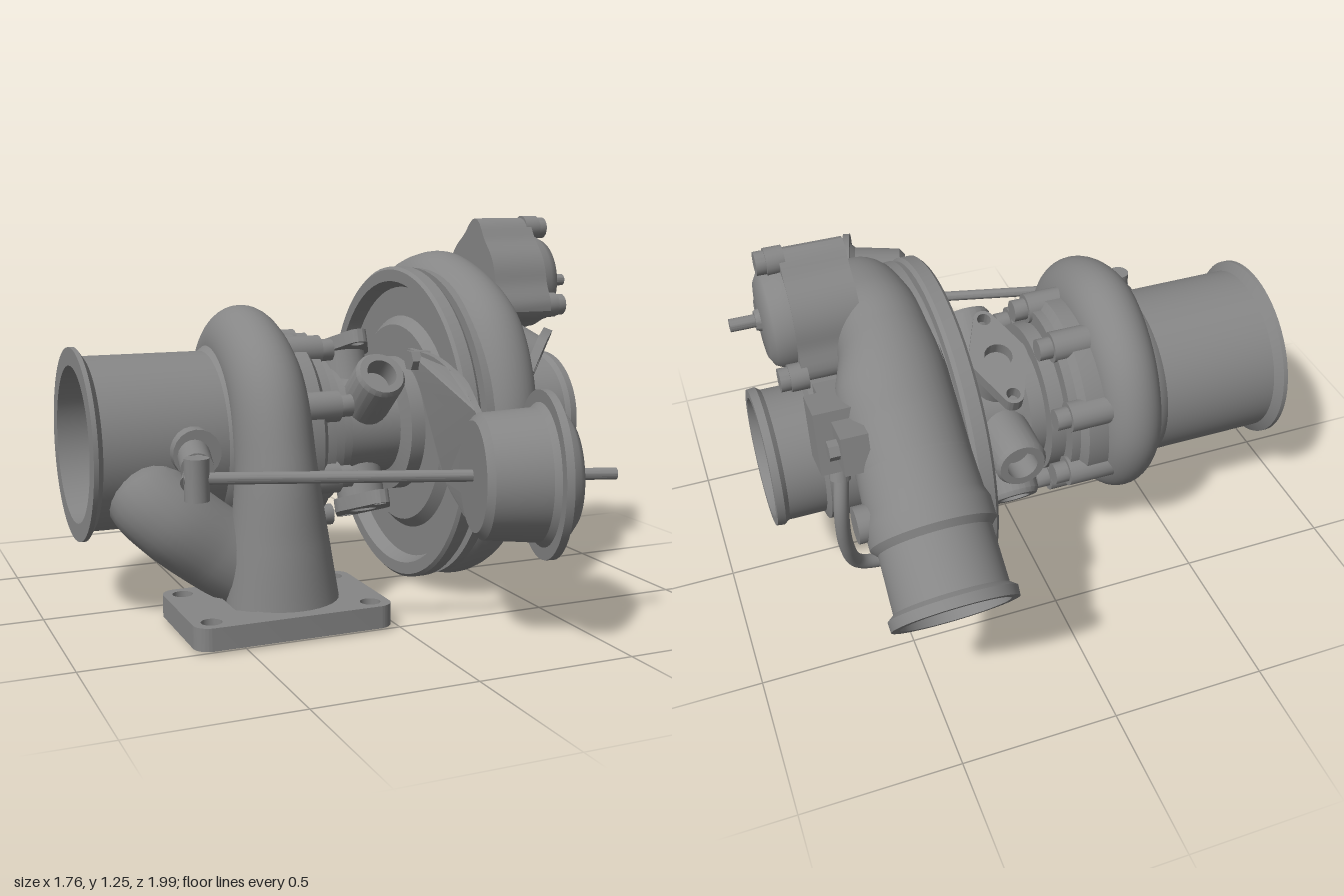
import * as THREE from 'three';
import { toCreasedNormals } from 'three/addons/utils/BufferGeometryUtils.js';

const V = (x, y, z) => new THREE.Vector3(x, y, z);
const UP = V(0, 1, 0), X = V(1, 0, 0);
const AY = 0.545, AZ = -0.06; // shaft axis runs along x through here

export function createModel() {
  const model = new THREE.Group();
  const metal = new THREE.MeshStandardMaterial({ color: 0x868686, side: THREE.DoubleSide });
  metal.name = 'castGrey';

  const add = (name, geo, pos = V(0, 0, 0), dir = UP) => {
    const m = new THREE.Mesh(geo, metal);
    m.name = name;
    m.position.copy(pos);
    m.quaternion.setFromUnitVectors(UP, dir.clone().normalize());
    model.add(m);
    return m;
  };
  // Turned part: profile of [height along dir, radius]
  const lathe = (name, pts, pos, dir, seg = 56) => add(name, toCreasedNormals(
    new THREE.LatheGeometry(pts.map(([h, r]) => new THREE.Vector2(r, h)), seg), 0.6), pos, dir);
  const onShaft = (name, pts, seg) => lathe(name, pts, V(0, AY, AZ), X, seg);
  const rod = (name, a, b, r, seg = 20) => lathe(name,
    [[0, 0], [0, r], [a.distanceTo(b), r], [a.distanceTo(b), 0]], a, b.clone().sub(a), seg);
  // Flat plate: outline extruded along dir
  const plate = (name, shape, depth, pos, dir) => add(name, toCreasedNormals(
    new THREE.ExtrudeGeometry(shape, { depth, bevelEnabled: false, curveSegments: 16 })
      .rotateX(-Math.PI / 2), 0.5), pos, dir);
  const hole = (shape, x, y, r) => shape.holes.push(new THREE.Path().absarc(x, y, r, 0, Math.PI * 2, true));
  const tubeGeo = (pts, r) => new THREE.TubeGeometry(new THREE.CatmullRomCurve3(pts), 40, r, 24);
  // Pushes vertices out of the exhaust bore
  const clearBore = geo => {
    const p = geo.attributes.position;
    for (let i = 0; i < p.count; i++) {
      const dy = p.getY(i) - AY, dz = p.getZ(i) - AZ, k = Math.max(1, 0.264 / Math.hypot(dy, dz));
      p.setY(i, AY + dy * k);
      p.setZ(i, AZ + dz * k);
    }
    return toCreasedNormals(geo, 0.6);
  };
  // Scroll: elliptical rings [z, y, x, radius in plane, radius along x]
  const scroll = (name, st, steps) => {
    const path = new THREE.CatmullRomCurve3(st.map(s => V(s[2], s[1], s[0])), false, 'centripetal');
    const size = new THREE.CatmullRomCurve3(st.map(s => V(s[3], s[4], 0)));
    const pos = [], idx = [], n = 36;
    for (let i = 0; i <= steps; i++) {
      const c = path.getPoint(i / steps), t = path.getTangent(i / steps), s = size.getPoint(i / steps);
      const side = V(0, -t.z, t.y).normalize();
      for (let j = 0; j < n; j++) {
        const a = j / n * Math.PI * 2;
        pos.push(c.x + Math.sin(a) * s.y, c.y + side.y * Math.cos(a) * s.x, c.z + side.z * Math.cos(a) * s.x);
        const p = i * n + j, q = i * n + (j + 1) % n;
        if (i < steps) idx.push(p, q, p + n, q, q + n, p + n);
      }
    }
    const g = new THREE.BufferGeometry();
    g.setAttribute('position', new THREE.Float32BufferAttribute(pos, 3));
    g.setIndex(idx);
    g.computeVertexNormals();
    return add(name, g);
  };
  // Two-bolt oval flange, long along shape y
  const ovalFlange = (l, w, bore) => {
    const s = new THREE.Shape(), e = w * 0.36;
    s.absarc(0, l - e, e, 0.55, Math.PI - 0.55);
    s.absarc(0, 0, w, Math.PI - 0.25, Math.PI + 0.25);
    s.absarc(0, e - l, e, Math.PI + 0.55, -0.55);
    s.absarc(0, 0, w, -0.25, 0.25);
    hole(s, 0, 0, bore);
    for (const k of [-1, 1]) hole(s, 0, k * (l - e), 0.022);
    return s;
  };
  const wheel = (name, x0, x1, r, count, twist) => {
    for (let i = 0; i < count; i++) {
      const g = new THREE.PlaneGeometry(1, 1, 6, 8), p = g.attributes.position;
      for (let k = 0; k < p.count; k++) {
        const u = p.getX(k) + 0.5, v = p.getY(k) + 0.5, rr = 0.025 + u * (r - 0.025);
        const a = i / count * Math.PI * 2 + twist * v + 0.3 * u;
        p.setXYZ(k, x0 + (x1 - x0) * v, AY + rr * Math.cos(a), AZ + rr * Math.sin(a));
      }
      g.computeVertexNormals();
      add(name + 'Blade', g);
    }
  };

  // Compressor housing, inlet and wheel
  onShaft('compressorHousing', [[0.25, 0], [0.25, 0.34], [0.28, 0.37], [0.28, 0.47], [0.235, 0.49],
    [0.235, 0.53], [0.245, 0.54], [0.285, 0.54], [0.297, 0.53], [0.3, 0.5], [0.315, 0.5], [0.315, 0.535],
    [0.38, 0.53], [0.4, 0.45], [0.43, 0.33], [0.45, 0.27],
    [0.53, 0.265], [0.54, 0.24], [0.68, 0.24], [0.69, 0.213], [0.81, 0.213], [0.825, 0.225],
    [0.85, 0.222], [0.85, 0.195], [0.8, 0.18], [0.58, 0.177], [0.58, 0]], 80);
  onShaft('compressorHub', [[0.58, 0.09], [0.63, 0.05], [0.68, 0.04], [0.68, 0.025], [0.72, 0.025], [0.72, 0]], 24);
  wheel('compressor', 0.6, 0.67, 0.175, 6, 1.05);

  // Compressor scroll growing towards its straight outlet
  const volute = [], out = V(0, -0.571, -0.821), mouth = V(0.47, 0.928, -0.326);
  const sizes = [[300, 0.07], [240, 0.088], [180, 0.1], [135, 0.11], [90, 0.12], [45, 0.133], [0, 0.146], [-18, 0.157]];
  for (const [deg, r] of sizes) {
    const a = deg * Math.PI / 180, R = deg < 0 ? 0.447 : 0.438;
    volute.push([AZ + R * Math.sin(a), AY + R * Math.cos(a), 0.3 + 0.95 * r, r, 0.95 * r]);
  }
  for (const t of [0, 0.12, 0.24]) {
    const p = mouth.clone().addScaledVector(out, t);
    volute.push([p.z, p.y, p.x, 0.166 + 0.03 * t, 0.172]);
  }
  scroll('compressorScroll', volute, 120);
  lathe('compressorOutlet', [[0.12, 0.166], [0.36, 0.176], [0.39, 0.187], [0.45, 0.187],
    [0.47, 0.168], [0.64, 0.17], [0.655, 0.19], [0.685, 0.188], [0.685, 0.162], [0.25, 0.15], [0.25, 0]],
  mouth, out);
  rod('outletBoss', V(0.61, 0.715, -0.63), V(0.68, 0.715, -0.63), 0.055);

  // Turbine housing and exhaust pipe
  onShaft('turbineHousing', [[-0.4, 0], [-0.4, 0.22], [-0.6, 0.245], [-0.88, 0.25], [-0.88, 0.308], [-0.865, 0.308],
    [-0.845, 0.278], [-0.45, 0.278], [-0.42, 0.3], [-0.3, 0.325], [-0.15, 0.325], [-0.13, 0.3], [-0.1, 0.3],
    [-0.1, 0.25], [-0.05, 0.25], [-0.05, 0.2], [0, 0.2], [0.01, 0.165], [0.19, 0.165], [0.2, 0.23], [0.26, 0.23]], 64);
  onShaft('turbineHub', [[-0.52, 0], [-0.52, 0.035], [-0.4, 0.08]], 24);
  wheel('turbine', -0.5, -0.4, 0.22, 10, 0.7);
  for (let i = 0; i < 8; i++) {
    const a = (i + 0.5) * Math.PI / 4, y = AY + 0.3 * Math.sin(a), z = AZ + 0.3 * Math.cos(a);
    rod('boltBoss', V(-0.26, y, z), V(-0.09, y, z), 0.05);
    rod('clampBolt', V(-0.09, y, z), V(-0.045, y, z), 0.036, 12);
  }
  scroll('turbineScroll', [[0.3, 0.07, -0.31, 0.172, 0.178], [0.29, 0.25, -0.315, 0.165, 0.155],
    [0.27, 0.5, -0.32, 0.15, 0.125], [0.18, 0.73, -0.32, 0.14, 0.12], [-0.06, 0.84, -0.315, 0.13, 0.115],
    [-0.265, 0.75, -0.31, 0.115, 0.105], [-0.345, 0.545, -0.31, 0.1, 0.1], [-0.26, 0.35, -0.31, 0.09, 0.095],
    [-0.06, 0.27, -0.31, 0.08, 0.09], [0.12, 0.32, -0.31, 0.06, 0.08]], 100);

  // Foot flange with port and bolt holes
  const foot = new THREE.Shape(), fx = 0.315, fz = 0.208, c = 0.05;
  [[1, -1, -0.5], [1, 1, 0], [-1, 1, 0.5], [-1, -1, 1]].forEach(([sx, sz, q]) =>
    foot.absarc(sx * (fx - c), sz * (fz - c), c, q * Math.PI, (q + 0.5) * Math.PI));
  foot.holes.push(new THREE.Path([[-0.155, -0.07], [-0.11, -0.11], [0.11, -0.11], [0.155, -0.07], [0.155, 0.07],
    [0.11, 0.11], [-0.11, 0.11], [-0.155, 0.07]].map(p => new THREE.Vector2(...p))));
  for (const sx of [-1, 1]) for (const sz of [-1, 1]) hole(foot, sx * 0.255, sz * 0.15, 0.032);
  plate('footFlange', foot, 0.07, V(-0.338, 0.015, 0.31), UP);

  // Wastegate elbow and channel under the exhaust pipe
  add('wastegateElbow', clearBore(tubeGeo([V(-0.36, 0.14, 0.2), V(-0.5, 0.235, 0.19), V(-0.63, 0.34, 0.18),
    V(-0.69, 0.41, 0.13), V(-0.67, 0.5, 0.0)], 0.135)));
  add('wastegateChannel', clearBore(new THREE.CylinderGeometry(0.14, 0.14, 0.32, 32)
    .rotateZ(Math.PI / 2).translate(-0.48, 0.36, 0.0)));

  // Wastegate lever and boss
  rod('wastegateBoss', V(-0.56, 0.55, 0.12), V(-0.57, 0.55, 0.27), 0.075);
  rod('wastegateShaft', V(-0.57, 0.55, 0.22), V(-0.61, 0.53, 0.4), 0.05);
  rod('wastegateLever', V(-0.6, 0.55, 0.38), V(-0.645, 0.5, 0.46), 0.035);
  rod('rodEnd', V(-0.635, 0.455, 0.475), V(-0.635, 0.58, 0.475), 0.037);

  // Actuator with rod and bracket
  const axis = V(0.967, 0, 0.256), centre = V(0.347, 0.505, 0.75);
  lathe('actuatorCan', [[-0.215, 0], [-0.215, 0.165], [-0.195, 0.187], [-0.03, 0.2], [-0.012, 0.215], [-0.012, 0.252],
    [0.012, 0.252], [0.015, 0.205], [0.05, 0.19], [0.07, 0.165], [0.085, 0.06], [0.1, 0.05], [0.1, 0]], centre, axis);
  rod('actuatorRod', V(-0.67, 0.52, 0.463), V(0.2, 0.505, 0.703), 0.018);
  rod('actuatorStem', centre, V(0.565, 0.5, 0.802), 0.018);
  const br = new THREE.Shape(new THREE.SplineCurve([[0.1, 0.82], [0.3, 0.81], [0.5, 0.75], [0.65, 0.69], [0.78, 0.64],
    [0.86, 0.51], [0.78, 0.39], [0.6, 0.35], [0.49, 0.36], [0.36, 0.45], [0.2, 0.7], [0.1, 0.77], [0.1, 0.82]]
    .map(([z, y]) => new THREE.Vector2(-y, -z))).getPoints(60));
  const bracket = plate('actuatorBracket', br, 0.022, V(0.212, 0, 0), X);
  const bp = bracket.geometry.attributes.position;
  for (let i = 0; i < bp.count; i++) bp.setY(i, bp.getY(i) - 0.262 * Math.max(0, bp.getZ(i) - 0.48));
  bracket.geometry = toCreasedNormals(bracket.geometry, 0.5);
  rod('bracketBolt', V(0.18, 0.79, 0.18), V(0.25, 0.79, 0.18), 0.035, 6);

  // Centre housing: oil flanges above and below, coolant ports front and back
  for (const k of [1, -1]) {
    const d = V(0, 0.94 * k, -0.34 * k), at = r => V(0.08, AY, AZ).addScaledVector(d, r);
    rod('oilNeck', at(0.1), at(0.25), 0.08);
    plate('oilFlange', ovalFlange(0.18, 0.095, 0.045), 0.045, at(0.25), d);
  }
  for (const deg of [40, 180, 218]) {
    const a = deg * Math.PI / 180, d = V(0, Math.sin(a), Math.cos(a));
    lathe('coolantPort', [[0.1, 0.085], [0.31, 0.085], [0.325, 0.075], [0.325, 0.05], [0.25, 0.05], [0.25, 0]],
      V(0.08, AY, AZ), d, 24);
  }

  // Bypass valve: lobed body, domed cap, bolts and stem
  const vy = 1.03, bolts = [[0.02, 1.215], [0.155, 0.955], [-0.17, 0.92]], lobed = [];
  for (let i = 0; i < 72; i++) {
    const a = i / 72 * Math.PI * 2;
    let r = 0.165;
    for (const [z, y] of bolts) {
      const d = Math.atan2(Math.sin(a - Math.atan2(z, y - vy)), Math.cos(a - Math.atan2(z, y - vy)));
      r += 0.055 * Math.exp(-d * d / 0.09);
    }
    lobed.push(new THREE.Vector2(-r * Math.cos(a), -r * Math.sin(a)));
  }
  plate('valveBody', new THREE.Shape(lobed), 0.2, V(0.508, vy, 0), X);
  lathe('valveCap', [[0.69, 0.165], [0.735, 0.16], [0.765, 0.145], [0.78, 0.12], [0.785, 0.035], [0.8, 0.03], [0.8, 0]],
    V(0, vy, 0), X);
  rod('valveStem', V(0.78, vy, 0), V(0.876, vy, 0), 0.02);
  for (const [z, y] of bolts) {
    rod('valveBoltBoss', V(0.69, y, z), V(0.745, y, z), 0.042);
    rod('valveBolt', V(0.745, y, z), V(0.775, y, z), 0.036);
  }

  // Valve outlet port with oval flange
  const pd = V(0.75, -0.35, 0.55).normalize(), pc = V(0.565, 0.785, 0.3);
  lathe('valvePort', [[-0.25, 0.13], [0, 0.088], [0, 0.04]], pc, pd, 32);
  plate('valvePortFlange', ovalFlange(0.16, 0.1, 0.04), 0.03, pc, pd);

  // Solenoid, mounting plate and hose
  const box = (name, w, h, d, x, y, z) => {
    add(name, new THREE.BoxGeometry(w, h, d), V(x, y, z)).rotation.x = 0.2;
  };
  box('solenoidPlate', 0.08, 0.12, 0.37, 0.64, 0.865, -0.37);
  box('solenoidBody', 0.16, 0.2, 0.13, 0.65, 0.86, -0.38);
  for (const [z, y] of [[-0.24, 0.838], [-0.495, 0.89]]) rod('solenoidBolt', V(0.62, y, z), V(0.71, y, z), 0.03, 6);
  rod('hoseNipple', V(0.66, 0.78, -0.4), V(0.67, 0.71, -0.42), 0.032);
  add('boostHose', tubeGeo([V(0.66, 0.75, -0.41), V(0.68, 0.6, -0.44), V(0.67, 0.42, -0.41),
    V(0.63, 0.29, -0.36), V(0.57, 0.255, -0.345), V(0.44, 0.25, -0.34)], 0.023));
  rod('hoseFitting', V(0.44, 0.25, -0.34), V(0.55, 0.255, -0.345), 0.045, 6);

  return model;
}
